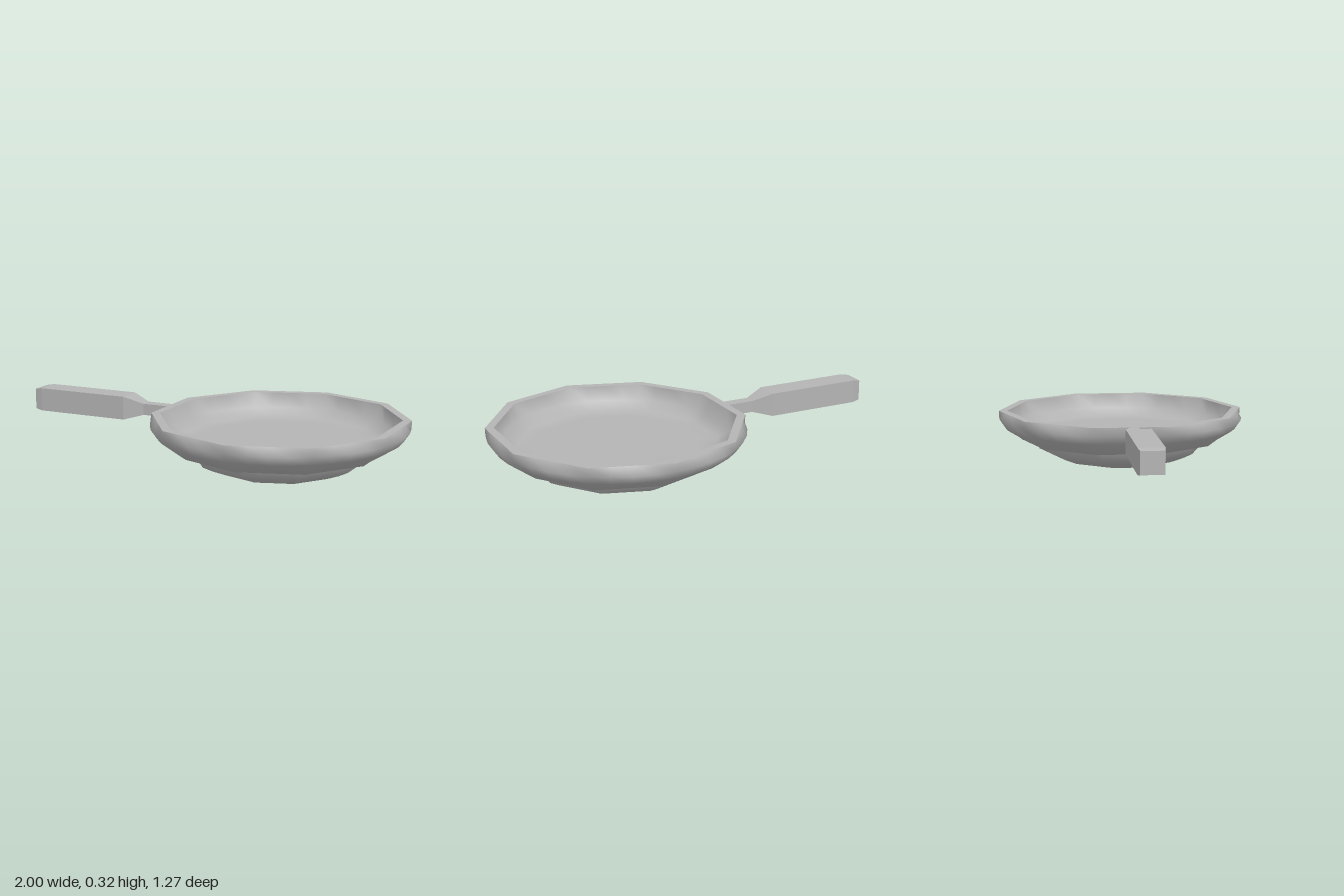
import * as THREE from 'three';
import { mergeVertices } from 'three/addons/utils/BufferGeometryUtils.js';

const SIDES = 40;
const CENTRE_X = 0.37;

// Lathe a profile of [radius, y, round]. Rows that are not round become
// ten-sided: points between the corners are pulled in to the straight edge.
function panGeometry(profile, flat = false) {
  const lathe = new THREE.LatheGeometry(profile.map(([r, y]) => new THREE.Vector2(r, y)), SIDES);
  const pos = lathe.attributes.position;
  const rows = profile.length;
  for (let i = 0; i < pos.count; i++) {
    const step = Math.floor(i / rows);
    const round = profile[i % rows][2];
    const atHandle = step > 28 && step < 32;
    if (!round || atHandle) {
      const fromMiddle = ((step % 4) - 2) * 2 * Math.PI / SIDES;
      const pull = Math.cos(Math.PI / 10) / Math.cos(fromMiddle);
      pos.setX(i, pos.getX(i) * pull);
      pos.setZ(i, pos.getZ(i) * pull);
    }
  }
  lathe.deleteAttribute('uv');
  lathe.deleteAttribute('normal');
  const geometry = flat ? lathe.toNonIndexed() : mergeVertices(lathe, 1e-5);
  geometry.computeVertexNormals();
  return geometry;
}

// Join rectangular sections [x, bottom, top, halfDepth] into a faceted bar.
function barGeometry(sections) {
  const points = [];
  const index = [];
  for (const [x, y0, y1, d] of sections) {
    points.push(x, y0, d, x, y0, -d, x, y1, -d, x, y1, d);
  }
  const quad = (a, b, c, d) => index.push(a, b, c, a, c, d);
  for (let s = 0; s < sections.length - 1; s++) {
    for (let k = 0; k < 4; k++) {
      const a = s * 4 + k;
      const b = s * 4 + (k + 1) % 4;
      quad(a, b, b + 4, a + 4);
    }
  }
  const e = (sections.length - 1) * 4;
  quad(3, 2, 1, 0);
  quad(e, e + 1, e + 2, e + 3);
  const indexed = new THREE.BufferGeometry();
  indexed.setAttribute('position', new THREE.Float32BufferAttribute(points, 3));
  indexed.setIndex(index);
  const geometry = indexed.toNonIndexed();
  geometry.computeVertexNormals();
  return geometry;
}

export function createModel() {
  const group = new THREE.Group();
  group.name = 'fryingPan';
  const metal = new THREE.MeshStandardMaterial({ color: 0xb4b4b4 });
  metal.name = 'grey metal';

  const add = (name, geometry, x = 0) => {
    const mesh = new THREE.Mesh(geometry, metal);
    mesh.name = name;
    mesh.position.x = x;
    group.add(mesh);
  };

  // Shallow bowl under the pan
  add('base', panGeometry([
    [0, 0], [0.155, 0], [0.3, 0.031], [0.37, 0.058], [0.425, 0.085], [0.45, 0.136],
  ]), CENTRE_X);

  // Ledge above the base, flowing into the flared side, which is rounder than the rim
  add('outerSide', panGeometry([
    [0.44, 0.134], [0.515, 0.134], [0.602, 0.2, true], [0.633, 0.245, true], [0.635, 0.287],
  ]), CENTRE_X);

  // Flat ten-sided lip
  add('rim', panGeometry([[0.635, 0.287], [0.592, 0.287]], true), CENTRE_X);

  // Inner wall running smoothly into the cooking surface
  add('inside', panGeometry([
    [0.592, 0.287], [0.558, 0.21, true], [0.5, 0.174], [0.42, 0.17], [0, 0.17],
  ]), CENTRE_X);

  // Handle with a bevelled end and a narrow neck
  add('handle', barGeometry([
    [-1, 0.207, 0.312, 0.054],
    [-0.96, 0.2, 0.319, 0.061],
    [-0.47, 0.2, 0.319, 0.061],
    [-0.37, 0.228, 0.286, 0.029],
    [-0.215, 0.228, 0.286, 0.029],
  ]));

  return group;
}
